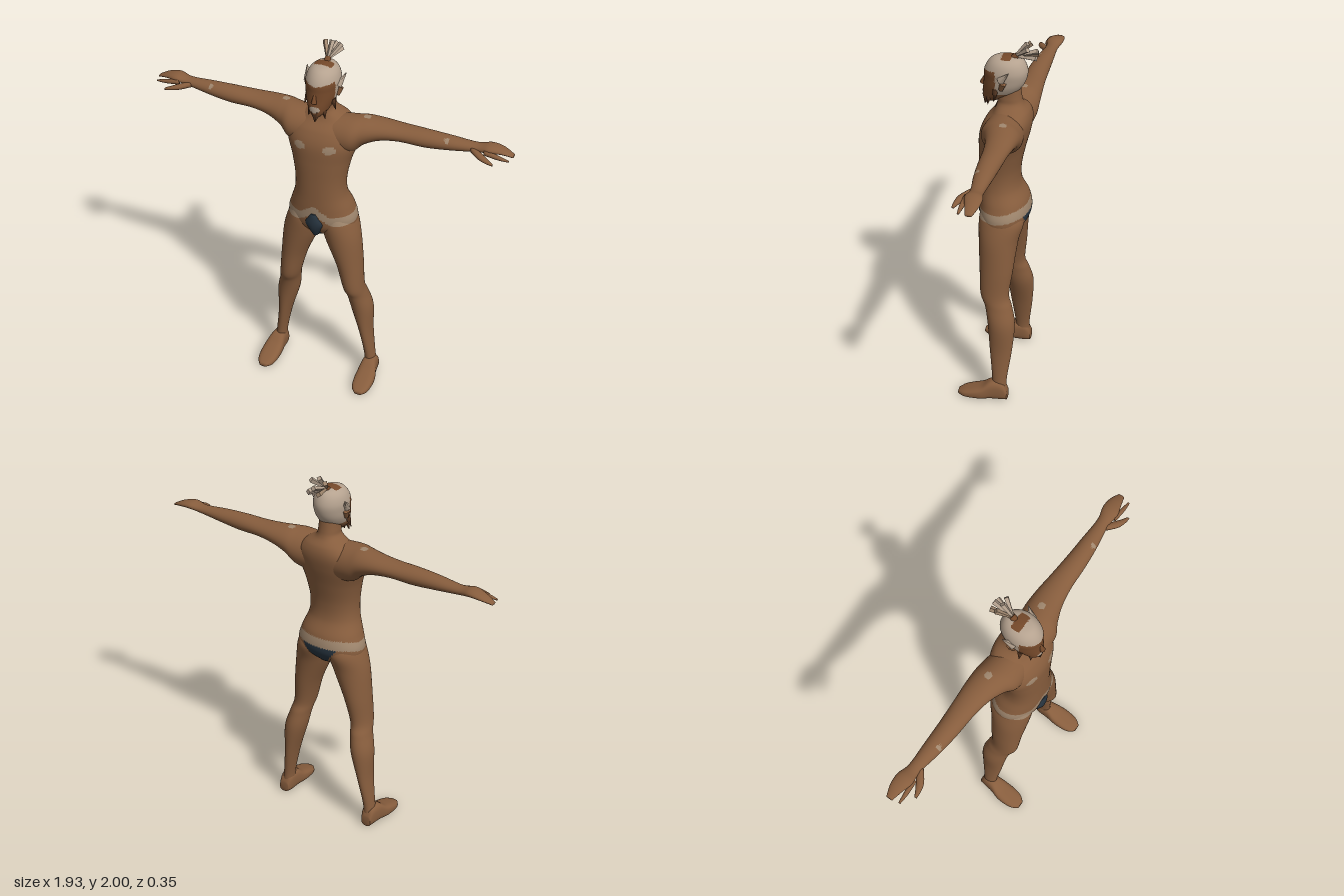
import * as THREE from 'three';

const mat = (name, color) => Object.assign(new THREE.MeshStandardMaterial({ color }), { name });
const skin = mat('skin', 0x875d3d);
const faceSkin = mat('face skin', 0x75492a);
const hair = mat('grey hair', 0xb5a28f);
const pale = mat('pale cloth and markings', 0xa0876e);
const dark = mat('dark cloth', 0x27343f);
const beard = mat('brown hair', 0x5c3b25);

// How a section row (t, u, v) maps to x, y, z for each loft axis
const AXES = {
  y: (t, u, v) => [u, t, v],
  x: (t, u, v) => [t, v, u],
  z: (t, u, v) => [v, u, t],
};

const spline = (a, b, c, d, t) =>
  b + 0.5 * t * (c - a + t * (2 * a - 5 * b + 4 * c - d + t * (3 * (b - c) + d - a)));

// Smooth loft through rows of [t, uMin, uMax, vMin, vMax]; paint picks a material per face
function loft(axis, rows, { seg = 40, steps = 8, pow = 1, paint = () => 0 } = {}) {
  const place = AXES[axis], pos = [], rings = [];
  const row = (i) => rows[Math.min(rows.length - 1, Math.max(0, i))];
  for (let i = 0; i < rows.length - 1; i++) {
    for (let s = 0; s < steps; s++) {
      rings.push(row(i).map((b, k) => spline(row(i - 1)[k], b, row(i + 1)[k], row(i + 2)[k], s / steps)));
    }
  }
  rings.push(row(rows.length));
  const bend = (n) => Math.sign(n) * Math.abs(n) ** pow;
  for (const [t, u0, u1, v0, v1] of rings) {
    for (let j = 0; j < seg; j++) {
      const a = (j / seg) * Math.PI * 2;
      pos.push(...place(t, (u0 + u1) / 2 + (u1 - u0) / 2 * bend(Math.cos(a)),
        (v0 + v1) / 2 + (v1 - v0) / 2 * bend(Math.sin(a))));
    }
  }
  const ends = [rings[0], rings[rings.length - 1]];
  for (const [t, u0, u1, v0, v1] of ends) pos.push(...place(t, (u0 + u1) / 2, (v0 + v1) / 2));
  const buckets = [];
  const tri = (...f) => {
    const c = [0, 1, 2].map((k) => f.reduce((sum, i) => sum + pos[i * 3 + k] / 3, 0));
    const m = paint(...c);
    (buckets[m] ??= []).push(...f);
  };
  const last = (rings.length - 1) * seg, cap = rings.length * seg;
  for (let j = 0; j < seg; j++) {
    const n = (j + 1) % seg;
    for (let r = 0; r < last; r += seg) {
      tri(r + j, r + seg + j, r + n);
      tri(r + n, r + seg + j, r + seg + n);
    }
    tri(cap, j, n);
    tri(cap + 1, last + n, last + j);
  }
  const geo = new THREE.BufferGeometry(), index = [];
  buckets.forEach((b, m) => {
    geo.addGroup(index.length, b.length, m);
    for (const i of b) index.push(i);
  });
  geo.setAttribute('position', new THREE.Float32BufferAttribute(pos, 3));
  geo.setIndex(index);
  geo.computeVertexNormals();
  return geo;
}

// Reflected copy across x with corner order restored
function mirror(geo) {
  const g = geo.clone().scale(-1, 1, 1), ix = g.index.array;
  for (let i = 0; i < ix.length; i += 3) [ix[i], ix[i + 1]] = [ix[i + 1], ix[i]];
  g.computeVertexNormals();
  return g;
}

// Tapered spike between two points
function spike(from, to, r0, r1, sides = 5) {
  const a = new THREE.Vector3(...from), b = new THREE.Vector3(...to), d = b.clone().sub(a);
  const g = new THREE.CylinderGeometry(r1, r0, d.length(), sides);
  g.applyQuaternion(new THREE.Quaternion().setFromUnitVectors(new THREE.Vector3(0, 1, 0), d.normalize()));
  const c = a.add(b).multiplyScalar(0.5);
  return g.translate(c.x, c.y, c.z);
}

const inEllipse = (a, b, ra, rb) => (a / ra) ** 2 + (b / rb) ** 2 < 1;

// Waistband, rear cloth and chest markings: 0 skin, 1 pale, 2 dark
function bodyPaint(x, y, z) {
  const ax = Math.abs(x);
  const low = z > 0 ? 1.04 + 0.06 * Math.max(0, 1 - ax / 0.085) : 1.04 + Math.min(0.02, -z * 0.2);
  if (y > low && y < low + 0.048) return 1;
  if (z < 0 && y <= low && ax < 0.09 * (y - 0.92) / 0.12) return 2;
  if (z > 0 && y <= low && ax < 0.03 && y < 1.05) return 2;
  if (z > 0.03 && inEllipse(ax - 0.08, y - 1.495, 0.033, 0.021)) return 1;
  return 0;
}

// Shoulder and forearm spots
const armPaint = (x, y, z) =>
  y > 1.6 && (inEllipse(x - 0.22, z + 0.045, 0.02, 0.018) || inEllipse(x - 0.64, z + 0.03, 0.012, 0.012)) ? 1 : 0;

// Hair cap, face and moustache: 0 hair, 1 face, 2 skin
function headPaint(x, y, z) {
  if (z > 0.08 && inEllipse(x, y - 1.712, 0.028, 0.018)) return 0;
  if (z > 0.03 && y < 1.835 + 0.015 * Math.abs(x) / 0.08) return 1;
  if (y < 1.725) return 2;
  if (y > 1.905 && z > -0.04 && z < 0.01) return 1;
  return 0;
}

export function createModel() {
  const model = new THREE.Group();
  const add = (name, geo, material) => {
    const m = new THREE.Mesh(geo, material);
    m.name = name;
    model.add(m);
  };
  const pair = (name, geo, material) => {
    add('left ' + name, geo, material);
    add('right ' + name, mirror(geo), material);
  };
  const body = [skin, pale, dark];

  // Torso and neck: [y, halfWidth, back, front]
  const torso = [
    [0.95, 0.06, -0.08, 0.08], [1.0, 0.17, -0.125, 0.11], [1.05, 0.185, -0.14, 0.122],
    [1.12, 0.165, -0.128, 0.125], [1.2, 0.138, -0.09, 0.125], [1.29, 0.135, -0.085, 0.125],
    [1.4, 0.155, -0.105, 0.125], [1.5, 0.185, -0.13, 0.12], [1.57, 0.18, -0.14, 0.092],
    [1.62, 0.13, -0.13, 0.05], [1.66, 0.065, -0.1, 0.035], [1.7, 0.053, -0.088, 0.035], [1.78, 0.05, -0.08, 0.035],
  ].map(([y, w, b, f]) => [y, -w, w, b, f]);
  add('torso', loft('y', torso, { seg: 80, steps: 10, pow: 0.92, paint: bodyPaint }), body);

  // Legs: [y, inner, outer, back, front]
  pair('leg', loft('y', [
    [0.04, 0.24, 0.31, -0.08, 0], [0.13, 0.238, 0.296, -0.08, 0], [0.29, 0.207, 0.278, -0.1, 0.018],
    [0.45, 0.16, 0.276, -0.11, 0.035], [0.55, 0.143, 0.252, -0.09, 0.055], [0.62, 0.127, 0.238, -0.07, 0.083],
    [0.76, 0.088, 0.228, -0.085, 0.092], [0.92, 0.022, 0.213, -0.102, 0.105],
    [1.02, 0.0, 0.188, -0.125, 0.11], [1.08, 0.03, 0.16, -0.1, 0.1],
  ], { seg: 56, paint: bodyPaint }), body);

  // Feet: [z, bottom, top, inner, outer]
  pair('foot', loft('z', [
    [-0.087, 0.005, 0.06, 0.25, 0.305], [-0.06, 0, 0.11, 0.238, 0.312], [0, 0, 0.115, 0.234, 0.322],
    [0.05, 0, 0.08, 0.229, 0.336], [0.1, 0, 0.06, 0.23, 0.338], [0.15, 0, 0.042, 0.24, 0.33],
    [0.182, 0.006, 0.026, 0.265, 0.308],
  ], { seg: 28, steps: 4, pow: 0.72 }), [skin]);

  // Arms and palms: [x, back, front, bottom, top]
  pair('arm', loft('x', [
    [0.06, -0.12, 0.08, 1.43, 1.635], [0.16, -0.132, 0.08, 1.45, 1.643], [0.22, -0.132, 0.05, 1.5, 1.645],
    [0.3, -0.127, 0.022, 1.535, 1.64], [0.4, -0.118, 0.005, 1.55, 1.635], [0.53, -0.11, -0.003, 1.548, 1.635],
    [0.65, -0.105, -0.015, 1.56, 1.63], [0.78, -0.1, -0.035, 1.577, 1.622], [0.85, -0.115, -0.028, 1.59, 1.632],
    [0.91, -0.112, -0.045, 1.59, 1.62], [0.965, -0.095, -0.062, 1.582, 1.594],
  ], { seg: 48, paint: armPaint }), [skin, pale]);
  pair('finger', loft('x', [
    [0.83, -0.05, -0.02, 1.585, 1.615], [0.9, -0.04, -0.017, 1.58, 1.602], [0.955, -0.033, -0.022, 1.58, 1.588],
  ], { seg: 12, steps: 4 }), [skin]);
  pair('thumb', loft('x', [
    [0.76, -0.07, -0.03, 1.58, 1.61], [0.81, -0.04, 0.008, 1.572, 1.602],
    [0.85, -0.012, 0.02, 1.568, 1.592], [0.888, 0.008, 0.022, 1.566, 1.578],
  ], { seg: 12, steps: 4 }), [skin]);

  // Front cloth pouch
  add('front cloth', loft('y', [
    [0.955, -0.015, 0.015, 0.06, 0.108], [1.0, -0.038, 0.038, 0.06, 0.13],
    [1.04, -0.056, 0.056, 0.06, 0.137], [1.08, -0.036, 0.036, 0.06, 0.134], [1.1, -0.024, 0.024, 0.08, 0.128],
  ], { seg: 20, steps: 4 }), [dark]);

  // Head: [y, halfWidth, back, front]
  const head = [
    [1.665, 0.02, 0.04, 0.1], [1.69, 0.045, 0, 0.108], [1.72, 0.062, -0.06, 0.11], [1.76, 0.077, -0.095, 0.105],
    [1.8, 0.083, -0.113, 0.102], [1.84, 0.085, -0.118, 0.1], [1.88, 0.073, -0.105, 0.08],
    [1.905, 0.048, -0.08, 0.05], [1.915, 0.012, -0.03, 0.0],
  ].map(([y, w, b, f]) => [y, -w, w, b, f]);
  add('head', loft('y', head, { seg: 64, steps: 8, paint: headPaint }), [hair, faceSkin, skin]);
  add('nose', spike([0, 1.795, 0.096], [0, 1.75, 0.112], 0.006, 0.015, 6), faceSkin);
  add('goatee', spike([0, 1.695, 0.085], [0, 1.64, 0.1], 0.03, 0.002), beard);
  const earAndTufts = [
    ['ear', [0.078, 1.76, 0], [0.088, 1.8, -0.015], 0.012, 0.018, skin],
    ['temple tuft', [0.08, 1.81, 0.0], [0.104, 1.865, -0.045], 0.022, 0.002, hair],
    ['cheek tuft', [0.064, 1.75, 0.03], [0.085, 1.695, 0.035], 0.018, 0.001, beard],
    ['jaw tuft', [0.035, 1.7, 0.07], [0.045, 1.655, 0.075], 0.016, 0.001, beard],
  ];
  for (const [name, a, b, r0, r1, m] of earAndTufts) pair(name, spike(a, b, r0, r1), m);

  // Topknot: a tie and a fan of flaring locks
  add('topknot tie', spike([0, 1.89, -0.04], [0, 1.922, -0.065], 0.024, 0.014, 8), faceSkin);
  const tips = [[0, 1.985, -0.115], [0.042, 1.972, -0.125], [-0.042, 1.972, -0.125],
    [0, 1.95, -0.165], [0.03, 1.925, -0.165], [-0.03, 1.925, -0.165]];
  tips.forEach((tip, i) => {
    const g = spike([0, 1.912, -0.052], tip, 0.006, 0.015, 4).toNonIndexed();
    g.computeVertexNormals();
    add('topknot lock ' + (i + 1), g, i % 3 === 2 ? pale : hair);
  });
  return model;
}
